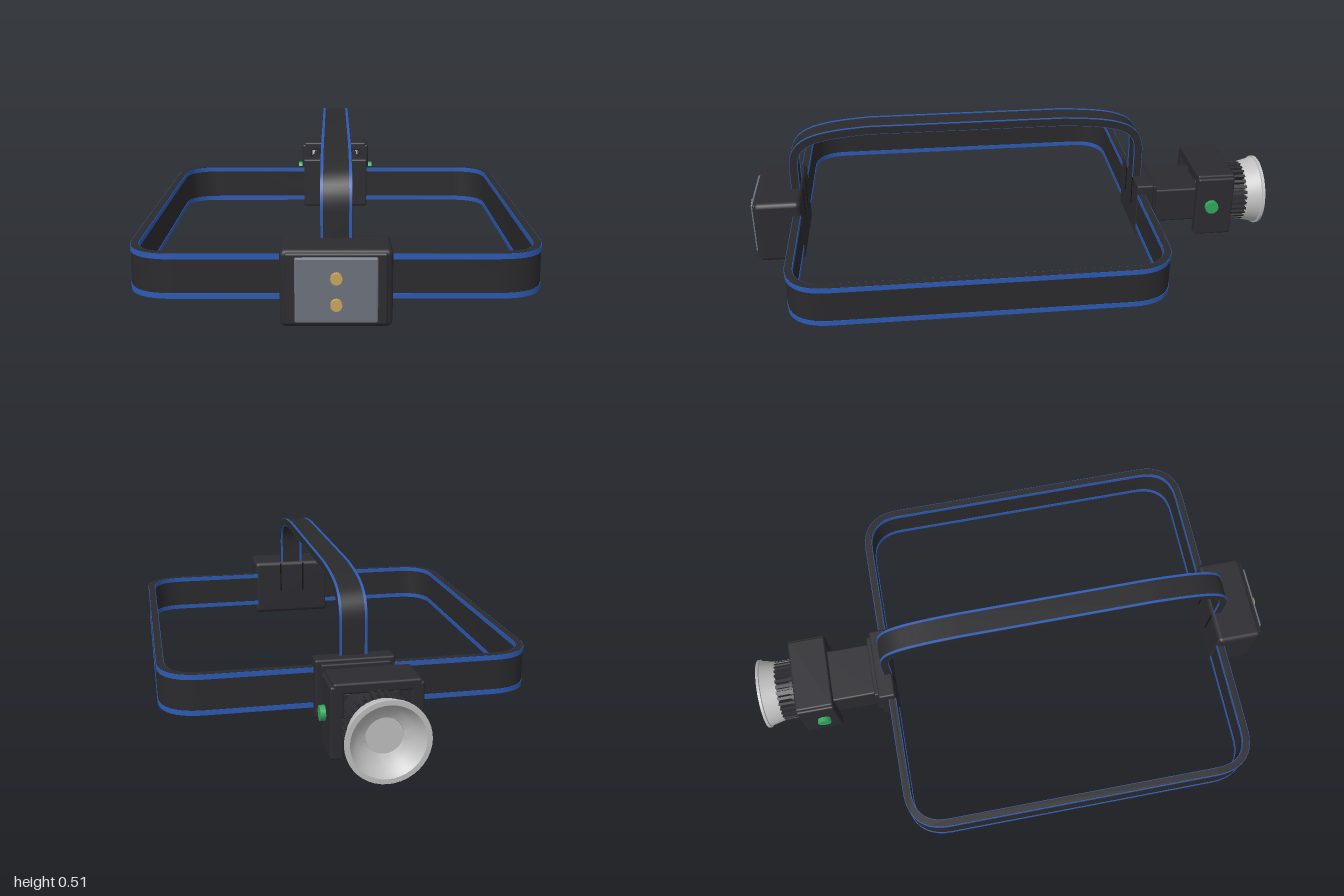
import * as THREE from 'three';
import { toCreasedNormals } from 'three/addons/utils/BufferGeometryUtils.js';
import { RoundedBoxGeometry } from 'three/addons/geometries/RoundedBoxGeometry.js';

const mat = (name, color) => {
  const m = new THREE.MeshStandardMaterial({ color });
  m.name = name;
  return m;
};

export function createModel() {
  const model = new THREE.Group();
  model.name = 'headTorch';
  const plastic = mat('charcoal plastic', 0x2c2b30);
  const fabric = mat('black webbing', 0x2a2a2d);
  const blue = mat('blue trim', 0x2c5ab4);
  const silver = mat('silver reflector', 0xc0c0c0);
  const grey = mat('grey panel', 0x6c717c);
  const gold = mat('gold contact', 0xcba65c);
  const green = mat('green knob', 0x32a85c);
  const black = mat('slot black', 0x121214);

  const add = (name, geometry, material, x = 0, y = 0, z = 0, parent = model) => {
    const mesh = new THREE.Mesh(geometry, material);
    mesh.name = name;
    mesh.position.set(x, y, z);
    parent.add(mesh);
    return mesh;
  };
  // Box given by its limits, with softened edges
  const block = (name, material, [x0, x1], [y0, y1], [z0, z1], r = 0.01) =>
    add(name, new RoundedBoxGeometry(x1 - x0, y1 - y0, z1 - z0, 2, r), material,
      (x0 + x1) / 2, (y0 + y1) / 2, (z0 + z1) / 2);

  // Flat path thickened to both sides, then extruded from a to b
  const offset = (pts, closed, d) => pts.map((p, i) => {
    const n = pts.length;
    const prev = closed ? pts[(i + n - 1) % n] : pts[Math.max(i - 1, 0)];
    const next = closed ? pts[(i + 1) % n] : pts[Math.min(i + 1, n - 1)];
    const t = p.clone().sub(prev).normalize().add(next.clone().sub(p).normalize()).normalize();
    return new THREE.Vector2(p.x + t.y * d, p.y - t.x * d);
  });
  const ribbon = (pts, closed, half, a, b) => {
    const outer = offset(pts, closed, half), inner = offset(pts, closed, -half);
    const shape = new THREE.Shape(closed ? outer : [...outer, ...inner.reverse()]);
    if (closed) shape.holes.push(new THREE.Path(inner));
    const geo = new THREE.ExtrudeGeometry(shape, { depth: b - a, bevelEnabled: false });
    return toCreasedNormals(geo.translate(0, 0, a), 0.6);
  };

  // Headband: rounded rectangle loop with blue edges
  const X = 0.653, F = -0.813, B = 0.4975, R = 0.14;
  const loop = new THREE.Path();
  loop.moveTo(X, F + R);
  loop.lineTo(X, B - R);
  loop.bezierCurveTo(X, B - R * 0.35, X - R * 0.35, B, X - R, B);
  loop.lineTo(-X + R, B);
  loop.bezierCurveTo(-X + R * 0.35, B, -X, B - R * 0.35, -X, B - R);
  loop.lineTo(-X, F + R);
  loop.bezierCurveTo(-X, F + R * 0.35, -X + R * 0.35, F, -X + R, F);
  loop.lineTo(X - R, F);
  loop.bezierCurveTo(X - R * 0.35, F, X, F + R * 0.35, X, F + R);
  const loopPts = loop.getPoints(10);
  if (loopPts[0].distanceTo(loopPts.at(-1)) < 1e-5) loopPts.pop();
  const bandPiece = (name, m, half, a, b) =>
    add(name, ribbon(loopPts, true, half, a, b).rotateX(-Math.PI / 2), m);
  bandPiece('headband', fabric, 0.0125, 0.066, 0.215);
  bandPiece('headbandLowerTrim', blue, 0.0145, 0.067, 0.085);
  bandPiece('headbandUpperTrim', blue, 0.0145, 0.196, 0.214);

  // Strap over the head
  const arch = new THREE.Path();
  arch.moveTo(-0.497, 0.14);
  arch.lineTo(-0.497, 0.35);
  arch.bezierCurveTo(-0.497, 0.46, -0.44, 0.482, -0.2, 0.495);
  arch.lineTo(0.53, 0.495);
  arch.bezierCurveTo(0.75, 0.482, 0.822, 0.46, 0.822, 0.35);
  arch.lineTo(0.822, 0.14);
  const archPts = arch.getPoints(14);
  const strapPiece = (name, m, half, a, b) =>
    add(name, ribbon(archPts, false, half, a, b).rotateY(-Math.PI / 2), m);
  strapPiece('topStrap', fabric, 0.014, -0.05, 0.05);
  strapPiece('topStrapTrimLeft', blue, 0.016, -0.049, -0.04);
  strapPiece('topStrapTrimRight', blue, 0.016, 0.04, 0.049);

  // Battery case with contact panel
  block('batteryCase', plastic, [-0.17, 0.17], [0.025, 0.268], [0.796, 0.968], 0.018);
  block('batteryFace', plastic, [-0.155, 0.155], [0.035, 0.26], [0.95, 0.974], 0.008);
  block('contactPanel', grey, [-0.125, 0.125], [0.045, 0.248], [0.965, 0.984], 0.006);
  for (const y of [0.105, 0.187]) {
    add('contactPin', new THREE.CylinderGeometry(0.018, 0.018, 0.03, 16), gold, 0, y, 0.985)
      .rotation.x = Math.PI / 2;
  }

  // Lamp mount and neck
  block('mountPlate', plastic, [-0.14, 0.14], [0.04, 0.25], [-0.547, -0.481], 0.008);
  block('mountStep', plastic, [-0.122, 0.122], [0.055, 0.238], [-0.562, -0.53], 0.006);
  block('neck', plastic, [-0.105, 0.105], [0.07, 0.21], [-0.76, -0.55], 0.008);

  // Strap slots on the inner faces
  for (const s of [-1, 1]) {
    add('batterySlot', new THREE.BoxGeometry(0.006, 0.13, 0.004), black, s * 0.052, 0.195, 0.796);
    add('mountSlot', new THREE.BoxGeometry(0.006, 0.11, 0.004), black, s * 0.052, 0.19, -0.481);
  }

  // Yoke holding the lamp, with a knob on each side
  block('yokeTop', plastic, [-0.142, 0.142], [0.245, 0.282], [-0.862, -0.718], 0.008);
  for (const s of [-1, 1]) {
    const xs = s > 0 ? [0.108, 0.152] : [-0.152, -0.108];
    block('yokeArm', plastic, xs, [0.028, 0.272], [-0.862, -0.718], 0.008);
    add('knob', new THREE.CylinderGeometry(0.026, 0.026, 0.02, 10), green, s * 0.16, 0.155, -0.775)
      .rotation.z = Math.PI / 2;
  }

  // Lamp body with cooling fins and reflector, built along the beam
  const lamp = new THREE.Group();
  lamp.name = 'lamp';
  lamp.position.y = 0.1375;
  lamp.rotation.x = -Math.PI / 2;
  model.add(lamp);
  add('lampCore', new THREE.CylinderGeometry(0.094, 0.094, 0.2, 32), plastic, 0, 0.835, 0, lamp);
  add('lampCollar', new THREE.CylinderGeometry(0.108, 0.108, 0.02, 32), plastic, 0, 0.87, 0, lamp);
  const fin = new THREE.BoxGeometry(0.011, 0.075, 0.035);
  for (let i = 0; i < 32; i++) {
    const a = (i / 32) * Math.PI * 2;
    add('coolingFin', fin, plastic, Math.sin(a) * 0.1, 0.898, Math.cos(a) * 0.1, lamp).rotation.y = a;
  }
  const profile = [[0, 0.93], [0.117, 0.93], [0.131, 0.988], [0.1365, 0.99], [0.1365, 1], [0.12, 1],
    [0.108, 0.985], [0.09, 0.966], [0.062, 0.952], [0.06, 0.946], [0, 0.946]]
    .map(([r, h]) => new THREE.Vector2(r, h));
  add('reflector', toCreasedNormals(new THREE.LatheGeometry(profile, 40), 0.55), silver, 0, 0, 0, lamp);

  return model;
}
